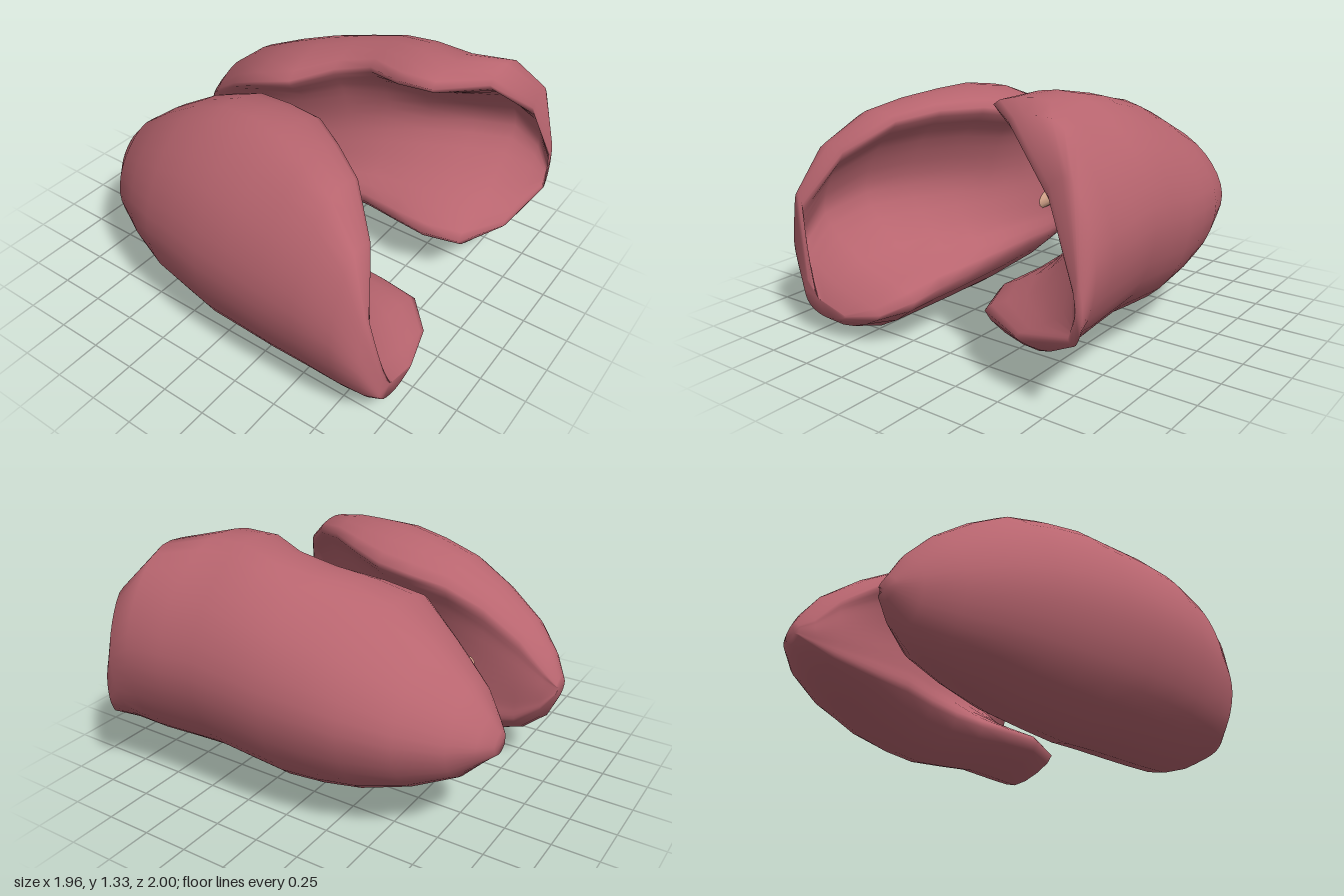
import * as THREE from 'three';

const lungPink = new THREE.MeshStandardMaterial({ color: 0xb8656f });
lungPink.name = 'lungPink';
const airwayTan = new THREE.MeshStandardMaterial({ color: 0xdba98f });
airwayTan.name = 'airwayTan';

// Stations from apex to base:
// z, lateral x, top y, bottom y, upper edge x/y, lower edge x/y, hollow x
const LEFT = [
  [-1, .45, .64, .52, .33, .6, .33, .55, .33],
  [-.95, .55, .72, .48, .27, .63, .28, .5, .26],
  [-.85, .66, .85, .38, .21, .75, .23, .44, .2],
  [-.65, .8, 1.01, .29, .13, .9, .2, .4, .18],
  [-.4, .88, 1.14, .21, .02, 1.05, .2, .38, .2],
  [-.2, .91, 1.21, .18, .07, 1.1, .23, .36, .27],
  [0, .93, 1.25, .17, .2, 1.18, .25, .35, .36],
  [.2, .94, 1.3, .19, .25, 1.24, .25, .35, .48],
  [.4, .955, 1.34, .21, .17, 1.27, .22, .35, .6],
  [.6, .965, 1.33, .2, .18, 1.28, .2, .35, .72],
  [.8, .975, 1.3, .21, .42, 1.26, .27, .33, .84],
  [.93, .97, 1.1, .3, .72, 1.02, .55, .32, .9],
  [1, .95, .7, .4, .9, .66, .88, .42, .91],
];
const RIGHT = [
  [-1, .44, .6, .48, .31, .57, .31, .52, .32],
  [-.93, .55, .73, .33, .29, .65, .29, .42, .28],
  [-.8, .69, .87, .21, .26, .8, .26, .32, .24],
  [-.6, .8, 1.02, .13, .22, .95, .23, .28, .23],
  [-.4, .88, 1.14, .06, .17, 1.05, .2, .28, .24],
  [-.2, .92, 1.21, .03, .12, 1.1, .2, .28, .28],
  [0, .96, 1.24, .01, .14, 1.12, .19, .28, .34],
  [.2, .975, 1.23, .02, .2, 1.16, .18, .28, .44],
  [.4, .985, 1.2, .025, .33, 1.16, .17, .28, .56],
  [.6, .98, 1.15, .03, .46, 1.12, .17, .28, .7],
  [.8, .965, 1, .04, .65, .97, .18, .26, .81],
  [.93, .92, .75, .08, .84, .71, .3, .2, .85],
  [.98, .8, .3, .12, .76, .28, .5, .16, .7],
];

// Crescent-shaped closed outline at one station
function crescent([z, lat, top, bot, tx, ty, bx, by, hollow], side, count) {
  const h = top - bot, my = (ty + by) / 2;
  const pts = [
    [tx, ty],
    [tx + .42 * (lat - tx), top],
    [tx + .83 * (lat - tx), top - .2 * h],
    [lat, bot + .5 * h],
    [bx + .85 * (lat - bx), bot + .18 * h],
    [bx + .45 * (lat - bx), bot],
    [bx, by],
    [hollow + .4 * (bx - hollow), my + .6 * (by - my)],
    [hollow, my],
    [hollow + .4 * (tx - hollow), my + .6 * (ty - my)],
  ].map(([x, y]) => new THREE.Vector3(side * x, y, z));
  const curve = new THREE.CatmullRomCurve3(pts, true, 'centripetal');
  return Array.from({ length: count }, (_, j) => curve.getPoint(j / count));
}

// Loft through the outlines, closed at both ends
function lung(name, stations, side) {
  const N = 40, pos = [], idx = [];
  const rings = stations.map((s) => crescent(s, side, N));
  rings.flat().forEach((p) => pos.push(p.x, p.y, p.z));
  const tri = (a, b, c) => (side > 0 ? idx.push(a, b, c) : idx.push(a, c, b));
  for (let i = 0; i < rings.length - 1; i++) {
    for (let j = 0; j < N; j++) {
      const a = i * N + j, b = i * N + (j + 1) % N;
      tri(a, a + N, b);
      tri(b, a + N, b + N);
    }
  }
  const last = (rings.length - 1) * N;
  [[0, false], [last, true]].forEach(([base, front]) => {
    const c = new THREE.Vector3();
    rings[base / N].forEach((p) => c.addScaledVector(p, 1 / N));
    const centre = pos.length / 3;
    pos.push(c.x, c.y, c.z);
    for (let j = 0; j < N; j++) {
      const a = base + j, b = base + (j + 1) % N;
      if (front) tri(centre, b, a);
      else tri(centre, a, b);
    }
  });
  const geo = new THREE.BufferGeometry();
  geo.setAttribute('position', new THREE.Float32BufferAttribute(pos, 3));
  geo.setIndex(idx);
  geo.computeVertexNormals();
  const mesh = new THREE.Mesh(geo, lungPink);
  mesh.name = name;
  return mesh;
}

function tube(name, points, radius) {
  const curve = new THREE.CatmullRomCurve3(points.map((p) => new THREE.Vector3(...p)));
  const mesh = new THREE.Mesh(new THREE.TubeGeometry(curve, 10, radius, 10), airwayTan);
  mesh.name = name;
  return mesh;
}

export function createModel() {
  const model = new THREE.Group();
  model.name = 'lungs';
  model.add(lung('leftLung', LEFT, 1), lung('rightLung', RIGHT, -1));

  // Main airways entering each lung
  model.add(
    tube('leftBronchus', [[-.02, .67, -.54], [.08, .65, -.52], [.18, .635, -.38], [.38, .64, -.12]], .048),
    tube('rightBronchus', [[-.02, .68, -.54], [-.11, .62, -.51], [-.18, .54, -.45], [-.3, .46, -.36]], .045),
  );

  // Short windpipe stub, cut open at the back
  const stub = new THREE.Group();
  stub.name = 'windpipe';
  const wall = new THREE.Mesh(new THREE.CylinderGeometry(.085, .06, .12, 12, 1), airwayTan);
  wall.name = 'windpipeWall';
  const bore = new THREE.Mesh(new THREE.CylinderGeometry(.068, .068, .004, 12), lungPink);
  bore.name = 'windpipeOpening';
  bore.position.y = .061;
  stub.add(wall, bore);
  stub.scale.z = .6;
  stub.position.set(-.02, .68, -.56);
  stub.rotation.x = -1.15;
  model.add(stub);
  return model;
}
